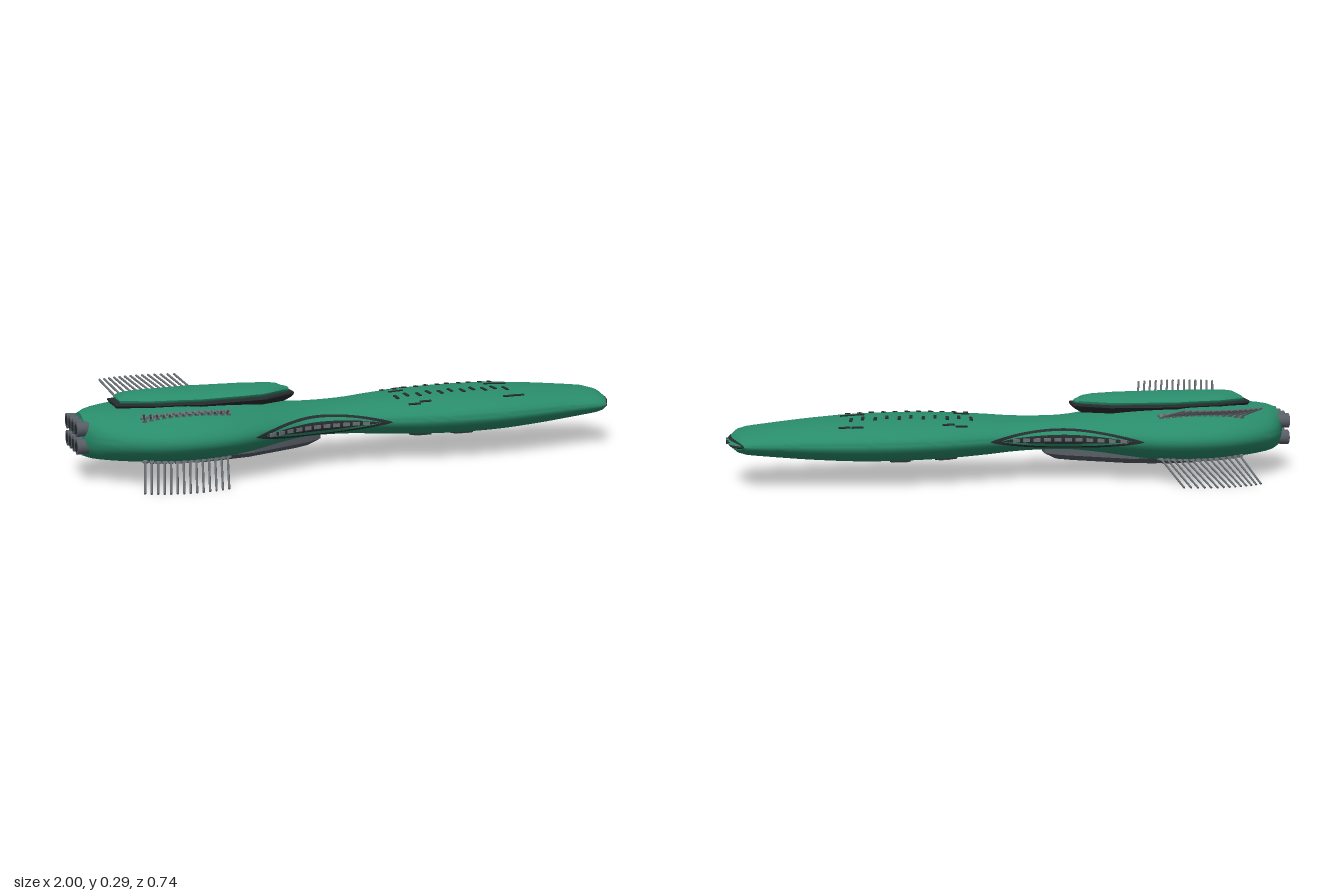
import * as THREE from 'three';
import { toCreasedNormals } from 'three/addons/utils/BufferGeometryUtils.js';

const mat = (name, color) => {
  const m = new THREE.MeshStandardMaterial({ color });
  m.name = name;
  return m;
};

// hull stations: x, half width, half height
const stations = [
  [-0.97, 0.1, 0.072], [-0.95, 0.14, 0.08], [-0.9, 0.2, 0.087], [-0.8, 0.265, 0.095], [-0.7, 0.297, 0.1],
  [-0.6, 0.303, 0.1], [-0.5, 0.288, 0.096], [-0.4, 0.25, 0.085], [-0.3, 0.2, 0.069], [-0.2, 0.163, 0.057],
  [-0.1, 0.15, 0.056], [0, 0.152, 0.06], [0.1, 0.174, 0.068], [0.25, 0.204, 0.076], [0.4, 0.215, 0.079],
  [0.55, 0.207, 0.077], [0.7, 0.183, 0.068], [0.8, 0.165, 0.059], [0.9, 0.153, 0.048],
];
const MID = 0.15;

// smooth cubic interpolation of a station column
function sample(x, c) {
  const n = stations.length;
  let i = 0;
  while (i < n - 2 && x > stations[i + 1][0]) i++;
  const slope = (k) => {
    const a = stations[Math.max(k - 1, 0)], b = stations[Math.min(k + 1, n - 1)];
    return (b[c] - a[c]) / (b[0] - a[0]);
  };
  const [p, q] = [stations[i], stations[i + 1]];
  const d = q[0] - p[0], t = Math.min(Math.max((x - p[0]) / d, 0), 1), t2 = t * t, t3 = t2 * t;
  return (2 * t3 - 3 * t2 + 1) * p[c] + (t3 - 2 * t2 + t) * d * slope(i) +
    (3 * t2 - 2 * t3) * q[c] + (t3 - t2) * d * slope(i + 1);
}

// frame on the hull surface at station x and section angle t
function surface(x, t) {
  const P = (u, v) => new THREE.Vector3(u, MID + sample(u, 2) * Math.sin(v), sample(u, 1) * Math.cos(v));
  const e = 0.004, p = P(x, t);
  const along = P(x + e, t).sub(P(x - e, t)).normalize();
  const normal = along.clone().cross(P(x, t + e).sub(P(x, t - e))).normalize();
  return { p, along, normal };
}
const angleAt = (x, z, up) => up * Math.acos(z / sample(x, 1));

// skin over rings of points, optionally closed and capped
function loft(rings, closed = true, crease = 0.6) {
  const n = rings[0].length, pos = rings.flat().flatMap((p) => [p.x, p.y, p.z]), idx = [];
  for (let i = 0; i < rings.length - 1; i++)
    for (let j = 0; j < (closed ? n : n - 1); j++) {
      const a = i * n + j, c = i * n + (j + 1) % n;
      idx.push(a, a + n, c, c, a + n, c + n);
    }
  if (closed) [0, rings.length - 1].forEach((r, end) => {
    const mid = rings[r].reduce((s, p) => s.add(p), new THREE.Vector3()).divideScalar(n);
    const m = pos.length / 3;
    pos.push(mid.x, mid.y, mid.z);
    for (let j = 0; j < n; j++) {
      const a = r * n + j, b = r * n + (j + 1) % n;
      idx.push(m, end ? b : a, end ? a : b);
    }
  });
  const g = new THREE.BufferGeometry();
  g.setAttribute('position', new THREE.Float32BufferAttribute(pos, 3));
  g.setIndex(idx);
  return toCreasedNormals(g, crease);
}

// elliptical section whose middle bows forward
const oval = (x, w, h, bow = 0, n = 56) => Array.from({ length: n }, (_, j) => {
  const t = (j / n) * Math.PI * 2;
  return new THREE.Vector3(x + bow * Math.sin(t) ** 2, MID + h * Math.sin(t), w * Math.cos(t));
});

// mirrored half outline [x, z] scaled about its centre, at levels [y, scale x, scale z, tilt]
function slab(half, levels) {
  const pts = [...half, ...half.slice().reverse().map(([x, z]) => [x, -z])];
  const cx = (half[0][0] + half[half.length - 1][0]) / 2;
  return levels.map(([y, sx, sz, tilt = 0]) => pts.map(([x, z]) =>
    new THREE.Vector3(cx + (x - cx) * sx, y + tilt * (x - cx), z * sz)));
}

export function createModel() {
  const model = new THREE.Group();
  const green = mat('hull green', 0x298c6b);
  const dark = mat('dark trim', 0x272c2e);
  const grey = mat('machinery grey', 0x585e66);
  const pale = mat('rod grey', 0x6a7074);
  const add = (name, geo, material, parent = model) => {
    const m = new THREE.Mesh(geo, material);
    m.name = name;
    parent.add(m);
    return m;
  };
  const group = (name) => {
    const g = new THREE.Group();
    g.name = name;
    model.add(g);
    return g;
  };

  // small block lying on the hull
  function pad(name, x, t, len, wide, tall, material, parent, turn = 0) {
    const { p, along, normal } = surface(x, t);
    const m = add(name, new THREE.BoxGeometry(len, tall, wide), material, parent);
    m.quaternion.setFromRotationMatrix(
      new THREE.Matrix4().makeBasis(along, normal, along.clone().cross(normal)));
    m.rotateY(turn);
    m.position.copy(p);
  }

  // hull with its bowed nose and slit
  const rings = [];
  for (let i = 0; i <= 72; i++) {
    const x = -0.97 + (1.87 * i) / 72;
    rings.push(oval(x, sample(x, 1), sample(x, 2)));
  }
  rings.push(oval(0.918, 0.151, 0.044, 0.014), oval(0.933, 0.148, 0.035, 0.03), oval(0.941, 0.145, 0.019, 0.041));
  add('hull', loft(rings), green);
  add('noseSlit', loft([oval(0.92, 0.145, 0.017, 0.04), oval(0.943, 0.144, 0.015, 0.045), oval(0.945, 0.142, 0.011, 0.046)]), dark);
  add('noseBlade', loft([oval(0.93, 0.122, 0.008, 0.05), oval(0.948, 0.115, 0.005, 0.051)]), green);
  for (const s of [-1, 1])
    add('noseSensor', new THREE.BoxGeometry(0.012, 0.012, 0.012), dark).position.set(0.993, MID, s * 0.022);

  // upper deck: dark base, green domed cap, small lookout
  const deck = [[-0.22, 0.04], [-0.34, 0.115], [-0.42, 0.122], [-0.58, 0.138], [-0.62, 0.122], [-0.74, 0.108], [-0.86, 0.06]];
  add('upperDeckBase', loft(slab(deck, [[0.222, 0.9, 0.65], [0.238, 0.98, 0.9], [0.248, 1, 1], [0.254, 1, 0.98]]), true, 0.4), dark);
  const cap = [[-0.243, 0.03], [-0.348, 0.092], [-0.42, 0.101], [-0.58, 0.116], [-0.63, 0.105], [-0.74, 0.093], [-0.842, 0.05]];
  add('upperDeckCap', loft(slab(cap, [[0.247, 0.98, 0.88], [0.256, 0.99, 0.98], [0.263, 1, 1],
    [0.271, 0.97, 0.88], [0.278, 0.92, 0.67], [0.284, 0.82, 0.38], [0.286, 0.7, 0.12]]), true, 0.9), green);
  const lookout = add('lookout', new THREE.SphereGeometry(1, 20, 12), green);
  lookout.scale.set(0.02, 0.012, 0.026);
  lookout.position.set(-0.248, 0.259, 0);

  // belly plate with two slots
  const belly = [[-0.12, 0.03], [-0.18, 0.07], [-0.4, 0.155], [-0.58, 0.16], [-0.68, 0.13], [-0.73, 0.07]];
  add('bellyPlate', loft(slab(belly, [[0.047, 0.86, 0.64, 0.03], [0.072, 1, 0.98, 0.02],
    [0.1, 1, 0.98, 0.02]]), true, 0.3), grey);
  for (const s of [-1, 1])
    add('bellySlot', new THREE.BoxGeometry(0.09, 0.014, 0.012), dark).position.set(-0.53, 0.044, s * 0.06);

  // engine cluster
  const engines = group('engines');
  for (const y of [0.122, 0.182])
    for (let k = 0; k < 4; k++) {
      const z = (k - 1.5) * 0.052;
      const e = add('engine', new THREE.CylinderGeometry(0.027, 0.024, 0.045, 16), grey, engines);
      e.rotation.z = Math.PI / 2;
      e.position.set(-0.9765, y, z);
      const n = add('nozzle', new THREE.CylinderGeometry(0.017, 0.017, 0.004, 16), dark, engines);
      n.rotation.z = Math.PI / 2;
      n.position.set(-0.998, y, z);
    }

  // four combs of swept rods
  const axisY = new THREE.Vector3(0, 1, 0);
  for (const s of [-1, 1])
    for (const up of [-1, 1]) {
      const comb = group(`${up > 0 ? 'upper' : 'lower'}${s > 0 ? 'Left' : 'Right'}RodComb`);
      for (let k = 0; k < 14; k++) {
        const f = k / 13, x = -0.79 + 0.285 * f;
        pad('rodSocket', x, angleAt(x, s * 0.189, up), 0.014, 0.026, 0.015, pale, comb);
        pad('socketRail', x, angleAt(x, s * 0.179, up), 0.023, 0.007, 0.01, grey, comb);
        const a = surface(x, angleAt(x, s * 0.187, up)).p;
        const reach = 1 - 0.22 * ((f - 0.6) / 0.6) ** 2;
        const b = new THREE.Vector3(x - 0.048 * reach, up > 0 ? 0.271 : 0.004, s * (0.187 + 0.183 * reach));
        const d = b.clone().sub(a);
        const rod = add('rod', new THREE.CylinderGeometry(0.004, 0.004, d.length(), 6), pale, comb);
        rod.quaternion.setFromUnitVectors(axisY, d.normalize());
        rod.position.copy(a).add(b).multiplyScalar(0.5);
      }
    }

  // lens-shaped side galleries at the waist
  const lens = (x0, x1, h, off, base) => {
    const rows = [];
    for (let i = 0; i <= 40; i++) {
      const x = x0 + ((x1 - x0) * i) / 40;
      const half = Math.asin(h * Math.sin((Math.PI * i) / 40) ** 0.8 / sample(x, 2));
      rows.push(Array.from({ length: 9 }, (_, j) => {
        const { p, normal } = surface(x, base + half * (j / 4 - 1));
        return p.addScaledVector(normal, off);
      }));
    }
    return loft(rows, false, 1);
  };
  for (const base of [0, Math.PI]) {
    const gallery = group(base ? 'rightGallery' : 'leftGallery');
    add('galleryFrame', lens(-0.43, 0.1, 0.031, 0.004, base), dark, gallery);
    add('galleryPanel', lens(-0.39, 0.06, 0.023, 0.006, base), green, gallery);
    add('galleryChannel', lens(-0.39, 0.06, 0.012, 0.008, base), dark, gallery);
    for (let k = 0; k < 11; k++)
      pad('galleryWindow', -0.365 + k * 0.037, base, 0.024, 0.012, 0.026, pale, gallery);
  }

  // dorsal vents and belly bays
  const vents = group('dorsalVents'), bays = group('bellyBays');
  for (const x of [0.175, 0.56]) pad('centreVent', x, Math.PI / 2, x > 0.3 ? 0.085 : 0.055, 0.007, 0.008, dark, vents);
  for (const s of [-1, 1]) {
    for (let k = 0; k < 11; k++) {
      const x = 0.15 + k * 0.042, z = s * (k % 2 ? 0.06 : 0.072);
      pad('shortVent', x, angleAt(x, z, 1), 0.011, 0.033, 0.007, dark, vents, s * 0.15);
    }
    for (const x of [0.215, 0.575])
      for (const d of [-0.022, 0.022])
        pad('longVent', x + d, angleAt(x + d, s * (0.137 - d * 0.15), 1), 0.042, 0.008, 0.007, dark, vents);
    for (const x of [0.24, 0.4]) {
      const t = angleAt(x, s * 0.078, -1);
      pad('bayFrame', x, t, 0.07, 0.042, 0.008, dark, bays);
      pad('bayDoor', x, t, 0.046, 0.022, 0.012, grey, bays);
    }
  }
  return model;
}
